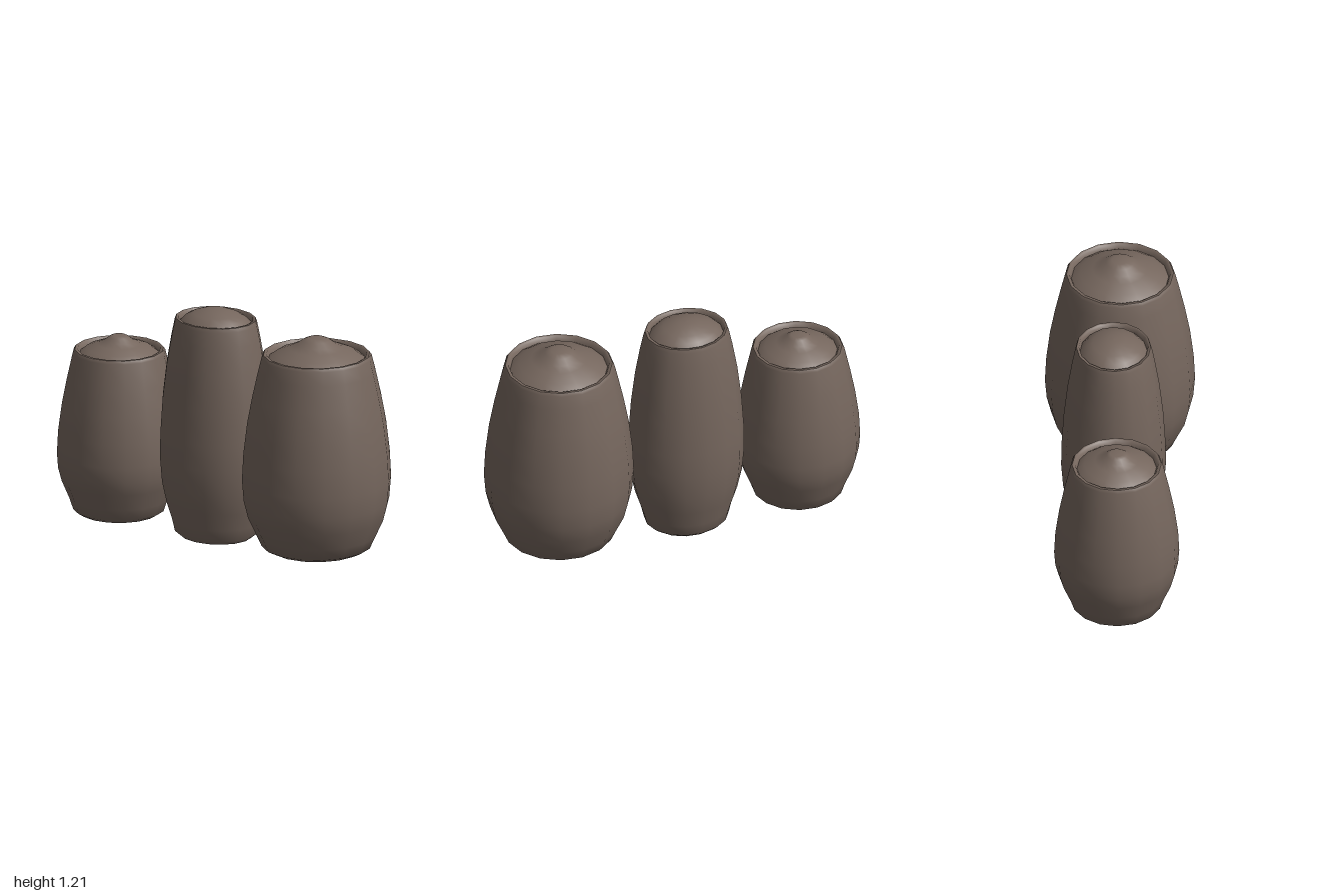
import * as THREE from 'three';

const SIDES = 16;

// Smoothly turned form from [radius, height] pairs, listed bottom to top
function turned(name, pairs, material) {
  const points = pairs.map(([r, y]) => new THREE.Vector2(r, y));
  const mesh = new THREE.Mesh(new THREE.LatheGeometry(points, SIDES), material);
  mesh.name = name;
  return mesh;
}

// One jar: outer wall with rim, and a sunken lid rising from the groove
function jar(name, x, z, depth, wall, lid, material) {
  const group = new THREE.Group();
  group.name = name;
  const [rimR, rimY] = wall[wall.length - 1];
  const [lidR, lidY] = lid[0];
  group.add(
    turned('body', wall, material),
    turned('rim', [[rimR, rimY], [rimR - 0.015, rimY], [lidR, lidY]], material),
    turned('lid', lid, material),
  );
  group.position.set(x, 0, z);
  group.scale.z = depth;
  return group;
}

export function createModel() {
  const clay = new THREE.MeshStandardMaterial({ color: 0x75665d });
  clay.name = 'brown clay';

  const model = new THREE.Group();
  model.name = 'threeJars';

  model.add(jar('smallJar', -0.685, -0.05, 1,
    [[0, 0.008], [0.14, 0.01], [0.2, 0.02], [0.232, 0.04], [0.252, 0.1], [0.29, 0.19], [0.309, 0.26],
      [0.315, 0.34], [0.309, 0.46], [0.29, 0.6], [0.265, 0.73], [0.235, 0.865], [0.225, 0.88]],
    [[0.2, 0.857], [0.165, 0.885], [0.11, 0.905], [0.075, 0.922], [0.05, 0.942], [0.033, 0.95], [0, 0.95]],
    clay));

  model.add(jar('tallJar', -0.065, -0.05, 0.885,
    [[0, 0.003], [0.13, 0.007], [0.19, 0.018], [0.218, 0.04], [0.232, 0.1], [0.262, 0.19], [0.287, 0.3],
      [0.298, 0.43], [0.296, 0.56], [0.284, 0.74], [0.262, 0.92], [0.237, 1.06], [0.22, 1.14], [0.212, 1.16]],
    [[0.19, 1.135], [0.16, 1.165], [0.12, 1.185], [0.07, 1.202], [0.03, 1.208], [0, 1.209]],
    clay));

  model.add(jar('wideJar', 0.62, 0, 1,
    [[0, 0.073], [0.16, 0.076], [0.235, 0.088], [0.278, 0.11], [0.305, 0.17], [0.347, 0.26], [0.369, 0.35],
      [0.378, 0.46], [0.371, 0.6], [0.352, 0.76], [0.326, 0.9], [0.297, 1.03], [0.28, 1.1], [0.27, 1.115]],
    [[0.245, 1.09], [0.2, 1.122], [0.14, 1.146], [0.1, 1.165], [0.07, 1.187], [0.04, 1.2], [0, 1.2]],
    clay));

  return model;
}
